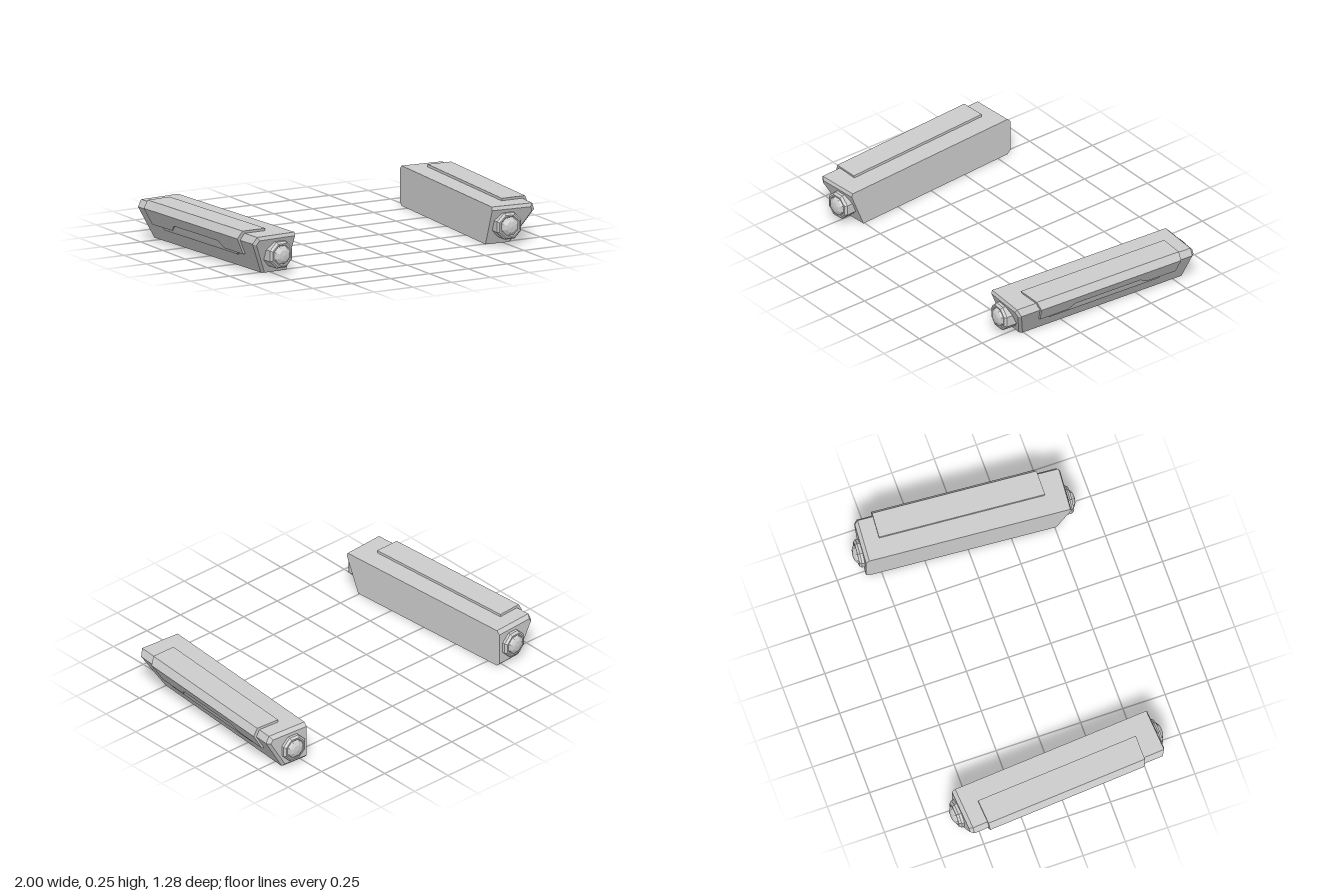
import * as THREE from 'three';
import { ConvexGeometry } from 'three/addons/geometries/ConvexGeometry.js';

const SLOPE = 0.58; // outward lean of the outer side, x per y
const TILT = 0.072; // toe-in of each pod

const material = new THREE.MeshStandardMaterial({ color: 0xcccccc, flatShading: true });

const hull = (points) => new ConvexGeometry(points.map((p) => new THREE.Vector3(...p)));

// Main block: leaning side, raked front end, bevelled rims at both ends
function bodyGeometry() {
  const full = [[0, 0], [0.16, 0], [0.27, 0.19], [0.25, 0.23], [0, 0.23]];
  const frontRim = [[0, 0], [0.146, 0], [0.251, 0.183], [0.238, 0.21], [0, 0.21]];
  const backRim = [[0, 0.02], [0.152, 0.02], [0.251, 0.188], [0.238, 0.21], [0, 0.21]];
  const rake = (y) => 0.51 + 0.42 * y;
  return hull([
    ...full.map(([x, y]) => [x, y, rake(y) - 0.015]),
    ...frontRim.map(([x, y]) => [x, y, rake(y)]),
    ...full.map(([x, y]) => [x, y, -0.572]),
    ...backRim.map(([x, y]) => [x, y, -0.592]),
  ]);
}

// Raised plate on top, chamfered along its outer edge
function topPlateGeometry() {
  const section = [[0.118, 0.245], [0.265, 0.245], [0.29, 0.2], [0.118, 0.2]];
  return hull([
    ...section.map(([x, y]) => [x, y, 0.484 - 0.06 * x - (0.245 - y) * 0.3]),
    ...section.map(([x, y]) => [x, y, -0.484]),
  ]);
}

// Notched plate on the leaning side, sheared to follow it
function sidePlateGeometry() {
  const outline = [[0.425, 0.1], [0.235, 0.1], [0.205, 0.14], [-0.235, 0.14],
    [-0.285, 0.103], [-0.484, 0.1], [-0.484, 0.2], [0.453, 0.2]];
  const shape = new THREE.Shape(outline.map(([z, y]) => new THREE.Vector2(-z, y)));
  const geometry = new THREE.ExtrudeGeometry(shape, { depth: 0.035, bevelEnabled: false });
  geometry.rotateY(Math.PI / 2);
  const p = geometry.attributes.position;
  for (let i = 0; i < p.count; i++) p.setX(i, p.getX(i) + 0.139 + SLOPE * p.getY(i));
  return geometry;
}

// Low strip filling the notch
function stripGeometry() {
  const points = [];
  for (const [y, half, x] of [[0.085, 0.367, 0.22], [0.1, 0.377, 0.228], [0.14, 0.21, 0.246]]) {
    for (const s of [-1, 1]) points.push([x, y, s * half - 0.015], [0.18, y, s * half - 0.015]);
  }
  return hull(points);
}

// Eight-sided stepped cap, pointing out of one end
function capGeometry(end) {
  const profile = [[0.081, 0.5], [0.081, 0.608], [0.07, 0.621], [0.062, 0.621],
    [0.056, 0.616], [0.05, 0.628], [0.032, 0.639], [0, 0.644]];
  const geometry = new THREE.LatheGeometry(
    profile.map(([r, y]) => new THREE.Vector2(r, y)), 8, Math.PI / 8);
  geometry.rotateX(end * Math.PI / 2);
  geometry.translate(0.1, 0.115, 0);
  return geometry;
}

// Mirrors across x and restores the winding
function mirrored(source) {
  const geometry = source.index ? source.toNonIndexed() : source;
  geometry.scale(-1, 1, 1);
  const p = geometry.attributes.position;
  const a = new THREE.Vector3();
  const b = new THREE.Vector3();
  for (let i = 0; i < p.count; i += 3) {
    a.fromBufferAttribute(p, i + 1);
    b.fromBufferAttribute(p, i + 2);
    p.setXYZ(i + 1, b.x, b.y, b.z);
    p.setXYZ(i + 2, a.x, a.y, a.z);
  }
  geometry.computeVertexNormals();
  return geometry;
}

function createPod(side) {
  const pod = new THREE.Group();
  pod.name = side > 0 ? 'leftPod' : 'rightPod';
  const parts = {
    body: bodyGeometry(),
    topPlate: topPlateGeometry(),
    sidePlate: sidePlateGeometry(),
    sideStrip: stripGeometry(),
    frontCap: capGeometry(1),
    backCap: capGeometry(-1),
  };
  for (const [name, source] of Object.entries(parts)) {
    const geometry = side > 0 ? source : mirrored(source);
    geometry.computeVertexNormals();
    const mesh = new THREE.Mesh(geometry, material);
    mesh.name = name;
    pod.add(mesh);
  }
  pod.position.x = side * 0.6775;
  pod.rotation.y = -side * Math.asin(TILT);
  return pod;
}

export function createModel() {
  const model = new THREE.Group();
  model.name = 'podPair';
  model.add(createPod(1), createPod(-1));
  return model;
}
